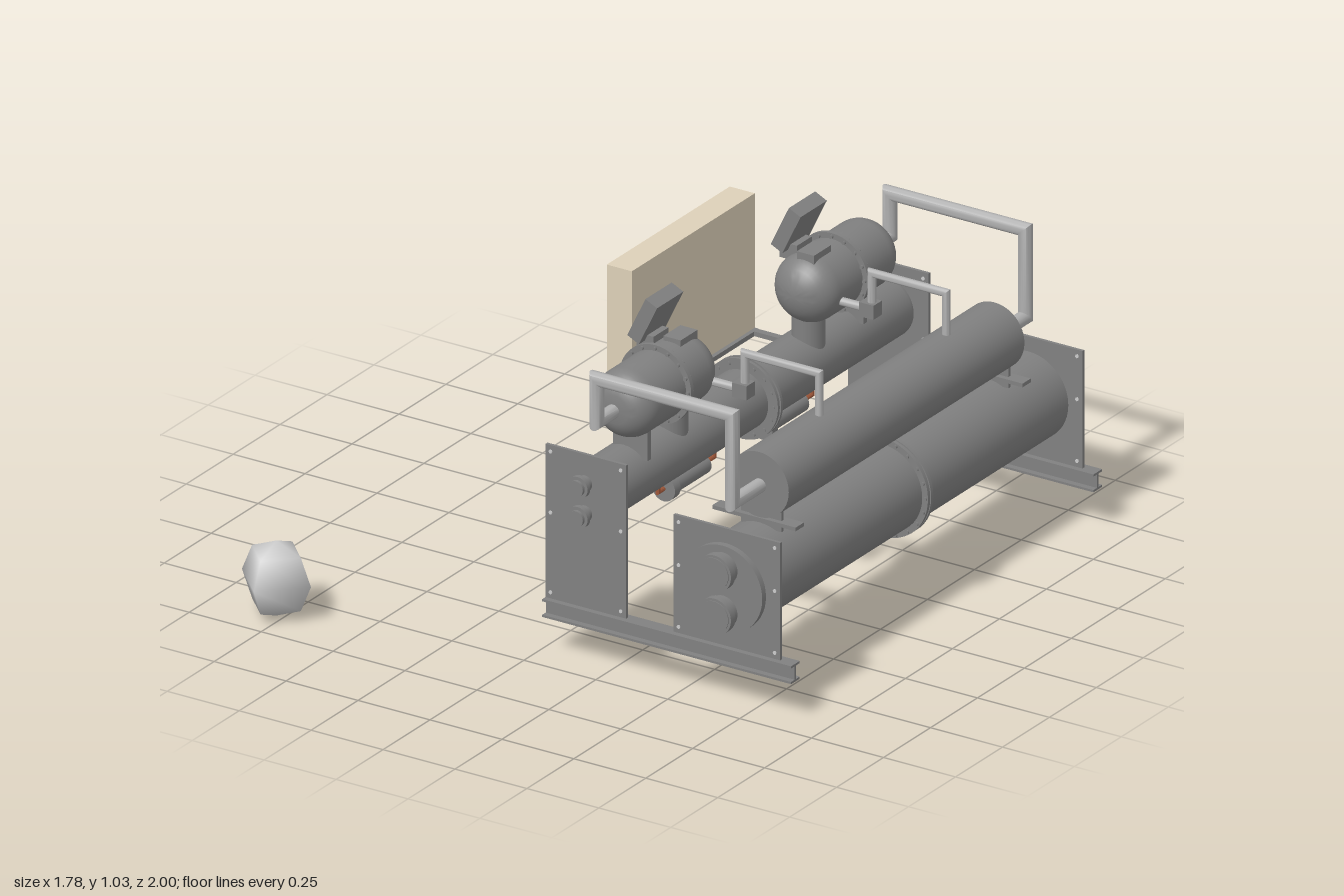
import * as THREE from 'three';
import { toCreasedNormals } from 'three/addons/utils/BufferGeometryUtils.js';

const mat = (color) => new THREE.MeshStandardMaterial({ color });
const steel = mat(0x808080), pipeGrey = mat(0xb0b0b0), beige = mat(0xddd0b8);
const copper = mat(0xa0583a), blue = mat(0x3a5aa8), dark = mat(0x555555), light = mat(0xcccccc);

function add(parent, name, geo, material, x = 0, y = 0, z = 0) {
  const m = new THREE.Mesh(geo, material);
  m.name = name;
  m.position.set(x, y, z);
  parent.add(m);
  return m;
}
const box = (p, name, m, w, h, d, x, y, z) => add(p, name, new THREE.BoxGeometry(w, h, d), m, x, y, z);

// Cylinder lying along z, from z0 to z1
const drum = (p, name, m, r, z0, z1, x, y, sides = 40) =>
  add(p, name, new THREE.CylinderGeometry(r, r, Math.abs(z1 - z0), sides).rotateX(Math.PI / 2), m, x, y, (z0 + z1) / 2);

// Solid turned about z; profile of [radius, z] with z increasing
const turned = (p, name, m, profile, x, y, z) => {
  const pts = profile.map(([r, h]) => new THREE.Vector2(r, h));
  return add(p, name, toCreasedNormals(new THREE.LatheGeometry(pts, 40).rotateX(Math.PI / 2), 0.6), m, x, y, z);
};

// Round pipe along straight runs with mitred corners
function mitredPipe(p, name, m, r, coords, sides = 20) {
  const P = coords.map((c) => new THREE.Vector3(...c));
  const dir = P.slice(1).map((q, i) => q.clone().sub(P[i]).normalize());
  const up = Math.abs(dir[0].y) > 0.9 ? new THREE.Vector3(1, 0, 0) : new THREE.Vector3(0, 1, 0);
  const u = new THREE.Vector3().crossVectors(dir[0], up).normalize();
  const v = new THREE.Vector3().crossVectors(dir[0], u);
  let ring = [];
  for (let k = 0; k < sides; k++) {
    const a = (k / sides) * Math.PI * 2;
    ring.push(P[0].clone().addScaledVector(u, r * Math.cos(a)).addScaledVector(v, r * Math.sin(a)));
  }
  const pos = [], idx = [];
  const push = (q) => pos.push(q.x, q.y, q.z);
  ring.forEach(push);
  for (let i = 1; i < P.length; i++) {
    const d = dir[i - 1];
    const n = i < dir.length ? d.clone().add(dir[i]).normalize() : d;
    ring = ring.map((q) => q.clone().addScaledVector(d, P[i].clone().sub(q).dot(n) / d.dot(n)));
    ring.forEach(push);
    for (let k = 0; k < sides; k++) {
      const a = (i - 1) * sides + k, b = (i - 1) * sides + ((k + 1) % sides);
      idx.push(a, b, a + sides, b, b + sides, a + sides);
    }
  }
  const g = new THREE.BufferGeometry();
  g.setAttribute('position', new THREE.Float32BufferAttribute(pos, 3));
  g.setIndex(idx);
  return add(p, name, toCreasedNormals(g, 0.7), m);
}

// Ring of small bolts around an axis along z
function boltRing(p, r, count, x, y, z, len) {
  for (let i = 0; i < count; i++) {
    const a = (i / count) * Math.PI * 2;
    drum(p, 'flangeBolt', steel, 0.006, z - len / 2, z + len / 2, x + r * Math.cos(a), y + r * Math.sin(a), 6);
  }
}

// One compressor with its piping; s = 1 for the front one, -1 for the rear one
function compressor(root, s) {
  const g = new THREE.Group();
  g.name = s > 0 ? 'frontCompressor' : 'rearCompressor';
  root.add(g);
  const Z = (z) => (s > 0 ? z : -0.25 - z);
  const cx = 0.197, cy = 0.785;

  // Housing with rounded ends
  const prof = [];
  for (let i = 0; i <= 8; i++) {
    const a = (i / 8) * Math.PI / 2;
    prof.push([0.107 * Math.sin(a), -0.22 + 0.09 * (1 - Math.cos(a))]);
  }
  for (let i = 0; i <= 8; i++) {
    const a = (i / 8) * Math.PI / 2;
    prof.push([i === 8 ? 0 : 0.03 + 0.077 * Math.cos(a), 0.145 + 0.075 * Math.sin(a)]);
  }
  const body = turned(g, 'compressorHousing', steel, prof, cx, cy, Z(0.35));
  if (s < 0) body.rotation.y = Math.PI;
  drum(g, 'housingFlange', steel, 0.125, Z(0.338), Z(0.352), cx, cy);
  boltRing(g, 0.115, 16, cx, cy, Z(0.345), 0.03);

  // Tilted terminal box and its mounting pad
  const t = new THREE.Group();
  t.name = 'terminalBox';
  t.position.set(0.135, 0.96, Z(0.257));
  t.rotation.z = -0.45;
  g.add(t);
  box(t, 'terminalCase', steel, 0.045, 0.145, 0.14, 0, 0, 0);
  box(t, 'terminalWindow', dark, 0.004, 0.05, 0.1, -0.023, 0.02, 0);
  box(g, 'terminalPad', steel, 0.06, 0.05, 0.09, 0.205, 0.88, Z(0.23));
  box(g, 'terminalNeck', steel, 0.06, 0.05, 0.08, 0.125, 0.88, Z(0.257));

  // Suction neck and rear foot
  add(g, 'suctionNeck', new THREE.CylinderGeometry(0.05, 0.05, 0.16, 28), steel, 0.18, 0.66, Z(0.24));
  box(g, 'compressorFoot', steel, 0.12, 0.12, 0.02, 0.18, 0.65, Z(0.45));

  // Discharge pipe up and over to the separator
  mitredPipe(g, 'dischargePipe', pipeGrey, 0.022, [
    [0.192, 0.78, Z(0.54)], [0.192, 0.78, Z(0.655)], [0.192, 0.917, Z(0.655)],
    [0.663, 0.917, Z(0.655)], [0.663, 0.638, Z(0.655)], [0.663, 0.638, Z(0.5)]]);

  // Small return pipe with valve
  const zp = Z(0.193) + (s < 0 ? -0.04 : 0);
  mitredPipe(g, 'returnPipe', pipeGrey, 0.013, [
    [0.27, 0.758, zp], [0.405, 0.758, zp], [0.405, 0.875, zp], [0.663, 0.875, zp], [0.663, 0.72, zp]], 16);
  box(g, 'returnValve', steel, 0.05, 0.045, 0.045, 0.4, 0.76, zp);

  // Filter slung under the small shell on copper lines
  const fz = s > 0 ? 0.08 : -0.44, fx = 0.12, fy = 0.37;
  drum(g, 'oilFilter', steel, 0.03, fz - 0.1, fz + 0.08, fx, fy, 24);
  drum(g, 'oilFilterCap', steel, 0.04, fz + 0.08, fz + 0.11, fx, fy, 24);
  mitredPipe(g, 'oilLine', copper, 0.007, [
    [fx, fy, fz - 0.09], [fx, fy, fz - 0.16], [fx, 0.47, fz - 0.16]], 10);
  mitredPipe(g, 'oilLine', copper, 0.007, [
    [fx, fy, fz + 0.1], [fx, fy, fz + 0.14], [fx, 0.47, fz + 0.14]], 10);
}

export function createModel() {
  const root = new THREE.Group();
  root.name = 'chiller';

  // Separate faceted ball
  add(root, 'ball', new THREE.SphereGeometry(0.12, 4, 4), light, -0.775, 0.125, 0.88);

  // I-beam feet and end plates with corner bolts
  for (const z of [0.66, -0.95]) {
    for (const y of [0.1265, 0.1765]) box(root, 'beamFlange', steel, 0.865, 0.007, 0.046, 0.4525, y, z);
    box(root, 'beamWeb', steel, 0.865, 0.05, 0.008, 0.4525, 0.152, z);
    for (const [x0, x1, y1] of [[0.02, 0.3, 0.67], [0.465, 0.835, 0.555]]) {
      box(root, 'endPlate', steel, x1 - x0, y1 - 0.18, 0.01, (x0 + x1) / 2, (y1 + 0.18) / 2, z);
      for (const x of [x0 + 0.018, x1 - 0.018])
        for (const y of [0.2, (y1 + 0.18) / 2 + 0.03, y1 - 0.02])
          drum(root, 'plateBolt', light, 0.006, z - 0.008, z + 0.008, x, y, 8);
    }
  }

  // Large shell with paired water ports
  drum(root, 'largeShell', steel, 0.138, -0.97, 0.685, 0.648, 0.37, 48);
  for (const z of [-0.19, -0.173]) drum(root, 'largeShellFlange', steel, 0.158, z - 0.006, z + 0.006, 0.648, 0.37, 48);
  boltRing(root, 0.149, 20, 0.648, 0.37, -0.181, 0.04);
  for (const y of [0.437, 0.299]) {
    drum(root, 'largePort', steel, 0.05, 0.68, 0.735, 0.65, y, 32);
    drum(root, 'largePortRim', steel, 0.058, 0.708, 0.732, 0.65, y, 32);
  }

  // Small shell, domed at the rear, with two nozzles
  const prof = [];
  for (let i = 0; i <= 8; i++) {
    const a = (i / 8) * Math.PI / 2;
    prof.push([0.093 * Math.sin(a), -1 + 0.065 * (1 - Math.cos(a))]);
  }
  prof.push([0.093, 0.66], [0, 0.66]);
  turned(root, 'smallShell', steel, prof, 0.157, 0.53, 0);
  for (const z of [-0.19, -0.173]) drum(root, 'smallShellFlange', steel, 0.127, z - 0.005, z + 0.005, 0.157, 0.53);
  boltRing(root, 0.112, 16, 0.157, 0.53, -0.181, 0.035);
  for (const y of [0.578, 0.482]) {
    drum(root, 'smallNozzle', steel, 0.025, 0.66, 0.715, 0.157, y, 24);
    drum(root, 'smallNozzleRim', steel, 0.035, 0.69, 0.705, 0.157, y, 24);
  }

  // Separator drum on its two supports
  drum(root, 'separator', steel, 0.104, -0.745, 0.51, 0.66, 0.64, 48);
  for (const z of [0.483, -0.725]) {
    box(root, 'separatorSupport', steel, 0.29, 0.012, 0.044, 0.64, 0.525, z);
    box(root, 'separatorSaddle', steel, 0.14, 0.08, 0.012, 0.655, 0.535, z);
  }

  for (const s of [1, -1]) compressor(root, s);

  // Control cabinet on the right side, with tray and arms
  box(root, 'controlCabinet', beige, 0.087, 0.43, 0.655, -0.037, 0.82, -0.1425);
  box(root, 'cabinetTray', steel, 0.1, 0.015, 0.655, -0.03, 0.598, -0.1425);
  for (const z of [0.172, -0.457]) box(root, 'cabinetArm', steel, 0.14, 0.015, 0.022, 0.05, 0.598, z);
  box(root, 'displayPanel', blue, 0.006, 0.075, 0.1, -0.082, 0.935, 0.02);
  for (const z of [0.025, 0.06]) box(root, 'indicator', copper, 0.012, 0.014, 0.014, -0.084, 0.985, z);
  box(root, 'handleStem', dark, 0.03, 0.016, 0.016, -0.094, 0.925, -0.12);
  box(root, 'doorHandle', dark, 0.01, 0.065, 0.018, -0.105, 0.9, -0.12);

  return root;
}
